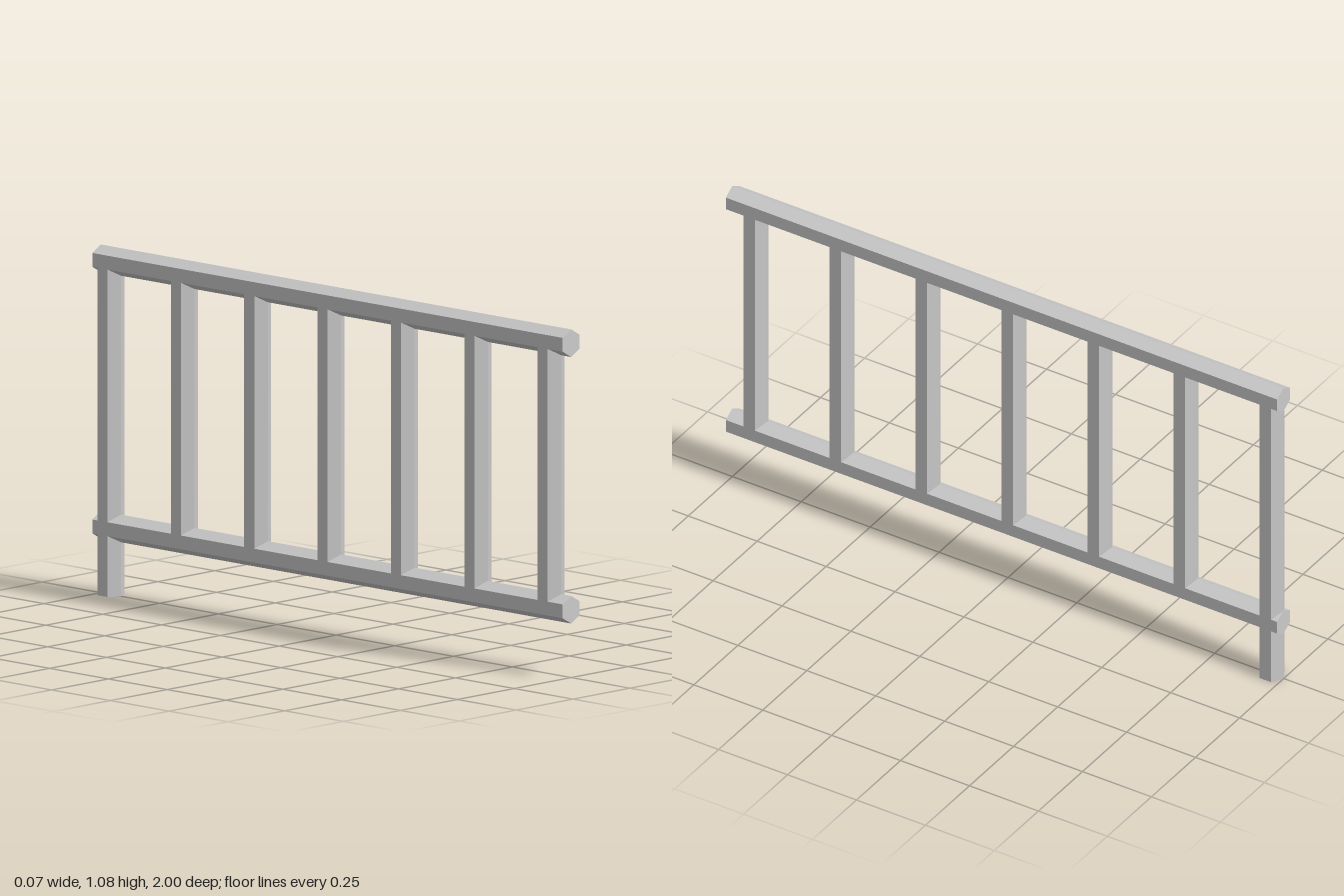
import * as THREE from 'three';

const R = 0.043;        // hexagon radius shared by all bars
const TOP = 1.04;       // upper rail centre height
const BOTTOM = 0.211;   // lower rail centre height

export function createModel() {
  const group = new THREE.Group();
  const material = new THREE.MeshStandardMaterial({ color: 0xcccccc, flatShading: true });

  // Hexagonal bar standing along y, with corners facing +z and -z
  const bar = (name, length) => {
    const mesh = new THREE.Mesh(new THREE.CylinderGeometry(R, R, length, 6), material);
    mesh.name = name;
    group.add(mesh);
    return mesh;
  };

  // Horizontal rails with a ridge on top and underneath
  for (const [name, y] of [['topRail', TOP], ['bottomRail', BOTTOM]]) {
    const rail = bar(name, 2);
    rail.rotation.x = Math.PI / 2;
    rail.position.y = y;
  }

  // Evenly spaced balusters; the rearmost one is a post reaching the ground
  const count = 7, first = 0.915, last = -1 + R;
  for (let i = 0; i < count; i++) {
    const isPost = i === count - 1;
    const base = isPost ? 0 : BOTTOM;
    const upright = bar(isPost ? 'endPost' : `baluster${i + 1}`, TOP - base);
    upright.position.set(0, (TOP + base) / 2, THREE.MathUtils.lerp(first, last, i / (count - 1)));
  }

  return group;
}
